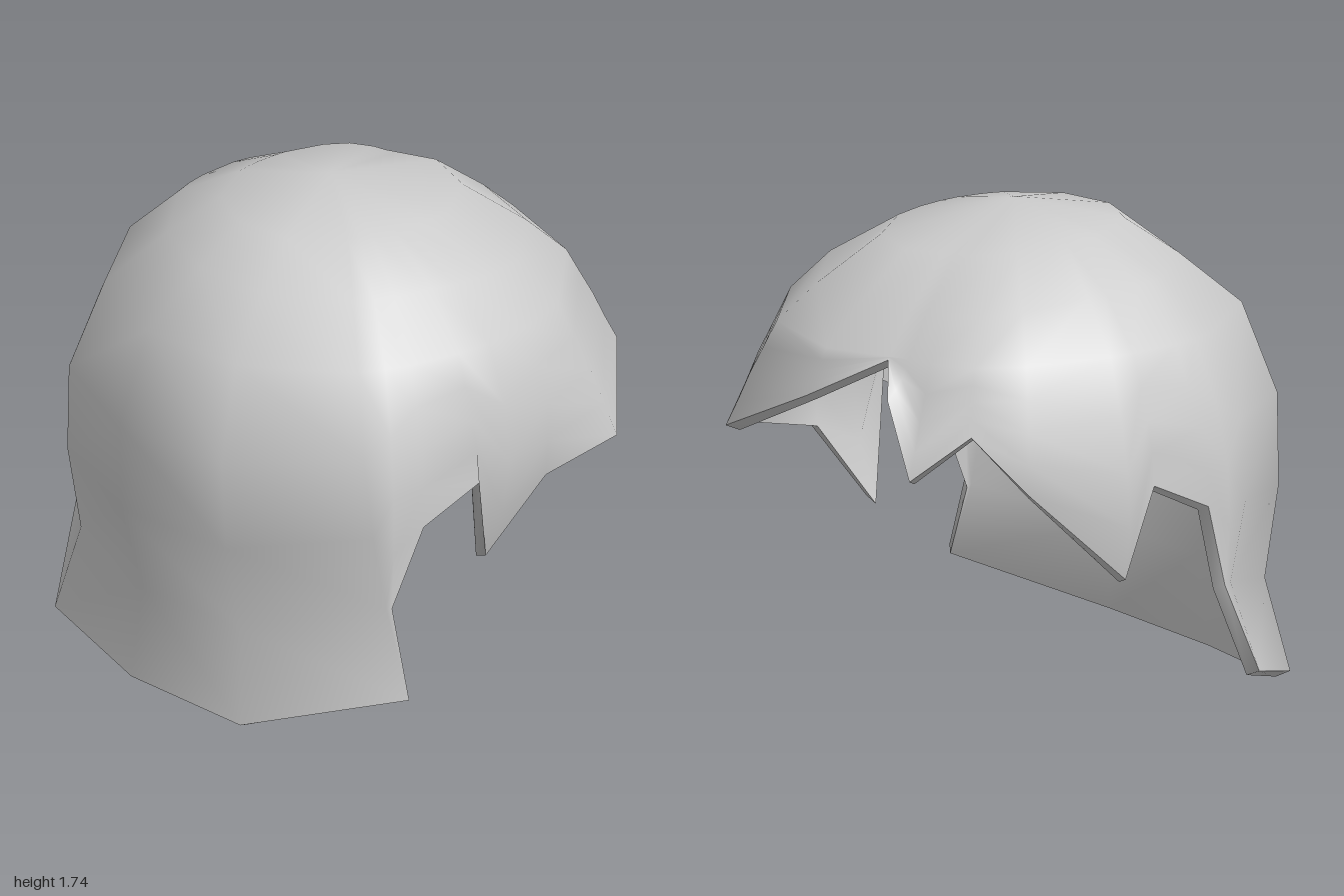
import * as THREE from 'three';

// Profiles as [height, radius] pairs, crown first: sides, front and back of the shell
const SIDE = [[1.74, 0], [1.66, 0.35], [1.53, 0.6], [1.35, 0.77], [1.07, 0.88], [0.8, 0.91], [0.49, 0.84], [0.2, 1], [0, 1.1]];
const FRONT = [[1.74, 0], [1.66, 0.42], [1.35, 0.81], [1.07, 0.93], [0.66, 0.92], [0.33, 0.82], [0, 0.88]];
const BACK = [[1.74, 0], [1.63, 0.46], [1.45, 0.69], [1.33, 0.82], [1.17, 0.89], [0.97, 0.93], [0, 0.93]];

// Half of the symmetric nape edge: [azimuth in degrees, x, y, z] of the rim
const NAPE = [
  [29, 0.56, 0.04, 0.81],
  [60, 1.0, 0.2, 0.4],
  [67, 0.84, 0.48, 0.36],
  [74, 0.89, 0.79, 0.26],
  [88, 0.9, 0.9, 0.03],
];
// Jagged edge from the left sideburn, across the fringe, to the right sideburn
const FRINGE = [
  [98, 0.74, 0.51, -0.11],
  [111, 0.82, 0.8, -0.31],
  [127, 0.81, 0.86, -0.62],
  [158, 0.37, 0.97, -0.93],
  [186, -0.1, 1.18, -0.9],
  [204, -0.32, 1.33, -0.7],
  [210, -0.44, 1.22, -0.78],
  [217, -0.55, 0.95, -0.76],
  [229, -0.7, 1.12, -0.6],
  [242, -0.81, 0.91, -0.43],
  [265, -0.87, 0.57, -0.07],
];
const mirrored = NAPE.map(([a, x, y, z]) => [360 - a, -x, y, z]).reverse();
const RIM = [[0, 0, 0.02, 0.88], ...NAPE, ...FRINGE, ...mirrored];

// Heights of the shared upper rings, at the front and at the back
const UPPER = [[1.66, 1.63], [1.53, 1.46], [1.35, 1.335]];
const LOWER = 4; // rings between the last shared ring and the rim
const ROWS = UPPER.length + LOWER;
const N = RIM.length;
const THICKNESS = 0.05;
const { lerp, degToRad } = THREE.MathUtils;

function radiusAt(profile, y) {
  for (let i = 1; i < profile.length; i++) {
    const [y0, r0] = profile[i - 1], [y1, r1] = profile[i];
    if (y >= y1) return r0 + (r1 - r0) * (y0 - y) / (y0 - y1);
  }
  return profile[profile.length - 1][1];
}

// Point on the rounded head form, with a shallow dent above the parting in the fringe
function headPoint(degrees, y) {
  const a = degToRad(degrees), s = Math.sin(a), c = Math.cos(a);
  const rz = radiusAt(c > 0 ? FRONT : BACK, y);
  const dent = 1 - 0.09 * Math.exp(-(((degrees - 207) / 13) ** 2));
  const r = dent * (1 + 0.03 * Math.sin(2 * a) ** 2) / Math.hypot(s / radiusAt(SIDE, y), c / rz);
  return new THREE.Vector3(r * s, y, r * c);
}

const ringHeight = (ring, azimuth) => lerp(...UPPER[ring], Math.max(0, -Math.cos(degToRad(azimuth))));

// Column point: shared rings first, then easing out to the rim point
function shellPoint(row, [azimuth, x, y, z]) {
  if (row <= UPPER.length) return headPoint(azimuth, ringHeight(row - 1, azimuth));
  const t = (row - UPPER.length) / LOWER;
  const p = headPoint(azimuth, lerp(ringHeight(UPPER.length - 1, azimuth), y, t));
  const end = headPoint(azimuth, y);
  return p.addScaledVector(new THREE.Vector3(x, y, z).sub(end), t * t);
}

// Inner counterpart of a shell point: inward across the wall, slightly down at the edge
function innerPoint(p, row, azimuth) {
  const a = degToRad(azimuth);
  const rise = Math.max(0, (p.y - 0.9) / 0.84);
  const across = THICKNESS * Math.sqrt(1 - rise * rise);
  const drop = Math.max(THICKNESS * rise, 0.02 * row / ROWS);
  return new THREE.Vector3(p.x - across * Math.sin(a), p.y - drop, p.z - across * Math.cos(a));
}

const id = (row, col) => (row === 0 ? 0 : 1 + (row - 1) * N + (col % N));

function makeGeometry(positions, index) {
  const g = new THREE.BufferGeometry();
  g.setAttribute('position', new THREE.Float32BufferAttribute(positions, 3));
  g.setIndex(index);
  g.computeVertexNormals();
  return g;
}

export function createModel() {
  const group = new THREE.Group();
  group.name = 'hair';
  const material = new THREE.MeshStandardMaterial({ color: 0xcccccc, side: THREE.DoubleSide });
  const add = (name, geometry) => {
    const mesh = new THREE.Mesh(geometry, material);
    mesh.name = name;
    group.add(mesh);
  };

  // Vertices of both walls, crown first
  const outer = [0, 1.74, 0.03], inner = [0, 1.74 - THICKNESS, 0.03];
  for (let r = 1; r <= ROWS; r++) {
    for (const column of RIM) {
      const p = shellPoint(r, column);
      outer.push(...p.toArray());
      inner.push(...innerPoint(p, r, column[0]).toArray());
    }
  }

  // Faces, with the diagonals mirrored between the two sides
  const faces = [], flipped = [];
  const triangle = (a, b, c) => {
    faces.push(a, b, c);
    flipped.push(a, c, b);
  };
  for (let j = 0; j < N; j++) {
    triangle(0, id(1, j), id(1, j + 1));
    for (let r = 1; r < ROWS; r++) {
      const a = id(r, j), b = id(r + 1, j), c = id(r + 1, j + 1), d = id(r, j + 1);
      if (RIM[j][0] < 180) {
        triangle(a, b, c);
        triangle(a, c, d);
      } else {
        triangle(a, b, d);
        triangle(b, c, d);
      }
    }
  }
  add('outerHair', makeGeometry(outer, faces));
  add('innerHair', makeGeometry(inner, flipped));

  // Thin strip closing the cut edge
  const strip = [], stripFaces = [];
  for (let j = 0; j < N; j++) {
    const o = id(ROWS, j) * 3, k = ((j + 1) % N) * 2;
    strip.push(...outer.slice(o, o + 3), ...inner.slice(o, o + 3));
    stripFaces.push(2 * j, 2 * j + 1, k + 1, 2 * j, k + 1, k);
  }
  add('hairEdge', makeGeometry(strip, stripFaces));

  return group;
}
